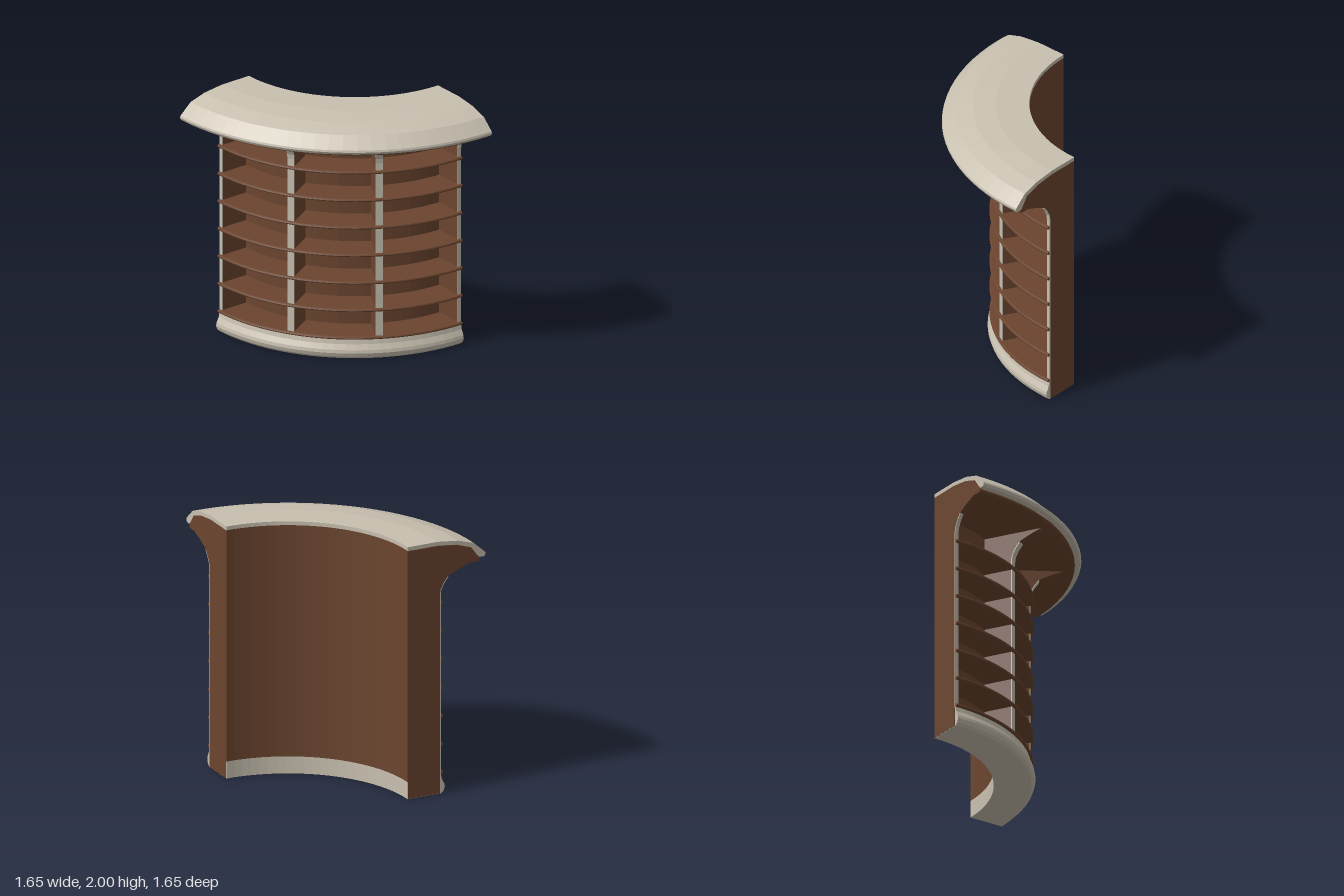
import * as THREE from 'three';
import { mergeGeometries } from 'three/addons/utils/BufferGeometryUtils.js';

const CENTRE = -0.825; // axis of the quarter ring in x and z
const SEGMENTS = 24;
const WIDTH = 0.055; // divider thickness

const vectors = (points) => points.map(([r, y]) => new THREE.Vector2(r, y));

// Places a geometry drawn in (radius, height) at an angle measured from +z
const atAngle = (geometry, angle) => geometry.rotateY(angle - Math.PI / 2);

// Solid quarter ring from a closed anticlockwise (radius, height) profile
function quarterRing(points) {
  const outline = vectors(points);
  const skin = new THREE.LatheGeometry([...outline, outline[0]], SEGMENTS, 0, Math.PI / 2);
  const startCap = atAngle(new THREE.ShapeGeometry(new THREE.Shape(outline)), 0);
  const endCap = new THREE.ShapeGeometry(new THREE.Shape(outline));
  const index = endCap.index.array;
  for (let i = 0; i < index.length; i += 3) {
    [index[i], index[i + 1]] = [index[i + 1], index[i]];
  }
  const geometry = mergeGeometries([skin, startCap, endCap].map((g) => g.toNonIndexed()));
  geometry.computeVertexNormals();
  return geometry;
}

// Flat radial plate extruded from z0 to z1 across its thickness
function radialPlate(points, angle, z0, z1) {
  const geometry = new THREE.ExtrudeGeometry(new THREE.Shape(vectors(points)), {
    depth: z1 - z0, bevelEnabled: false,
  });
  return atAngle(geometry.translate(0, 0, z0), angle);
}

// Board with a rounded front edge
function board(inner, outer, y, thickness) {
  const h = thickness / 2;
  return [
    [inner, y - h], [outer - h, y - h], [outer - h * 0.3, y - h * 0.7], [outer, y],
    [outer - h * 0.3, y + h * 0.7], [outer - h, y + h], [inner, y + h],
  ];
}

export function createModel() {
  const stone = new THREE.MeshStandardMaterial({ color: 0xc8c0b0 });
  stone.name = 'warm grey';
  const wood = new THREE.MeshStandardMaterial({ color: 0x6b452f });
  wood.name = 'brown wood';

  const model = new THREE.Group();
  model.name = 'curvedShelfCounter';
  const add = (name, geometry, material) => {
    const mesh = new THREE.Mesh(geometry, material);
    mesh.name = name;
    mesh.position.set(CENTRE, 0, CENTRE);
    model.add(mesh);
  };

  // Plinth with a bulging front
  add('base', quarterRing([
    [1, 0], [1.28, 0], [1.3, 0.02], [1.31, 0.05], [1.305, 0.075],
    [1.285, 0.115], [1.277, 0.155], [1.05, 0.155], [1.05, 0.135], [1, 0.135],
  ]), stone);

  // Curved back wall
  add('backWall', quarterRing([[1, 0.135], [1.05, 0.135], [1.05, 1.97], [1, 1.97]]), wood);

  // Overhanging counter top, a shell sloping down to a rolled rim
  add('counterTop', quarterRing([
    [1, 1.97], [1.25, 1.97], [1.41, 1.95], [1.53, 1.91], [1.6, 1.82], [1.64, 1.82],
    [1.65, 1.84], [1.645, 1.855], [1.55, 1.94], [1.42, 1.98], [1.25, 2], [1, 2],
  ]), stone);
  add('topMoulding', quarterRing(board(1.01, 1.602, 1.805, 0.03)), wood);

  // Shelves
  for (let i = 0; i < 7; i++) {
    add('shelf', quarterRing(board(1.01, 1.297, 0.165 + i * 0.2242, 0.024)), wood);
  }

  // Radial dividers flaring out under the top, with pale front facings
  const flare = [[1.267, 1.58], [1.274, 1.62], [1.3, 1.67], [1.335, 1.715]];
  const underTop = [[1.42, 1.755], [1.53, 1.795], [1.59, 1.82]];
  const crown = [[1.53, 1.908], [1.41, 1.948], [1.25, 1.968]];
  const facing = [
    [1.267, 0.15], ...flare,
    ...flare.map(([r, y], i) => [r + 0.008 - i * 0.001, y - i * 0.002]).reverse(),
    [1.275, 0.15],
  ];
  for (let i = 0; i < 4; i++) {
    const angle = (i * Math.PI) / 6;
    const end = i === 0 || i === 3;
    const z0 = i === 0 ? -WIDTH / 2 : i === 3 ? -0.002 : -WIDTH / 2;
    const z1 = i === 0 ? 0.002 : WIDTH / 2;
    const foot = end ? 0.002 : 0.15;
    add(end ? 'endPanel' : 'divider', radialPlate([
      [1.003, foot], [1.267, foot], ...flare, ...underTop, ...crown, [1.003, 1.968],
    ], angle, z0, z1), wood);
    add('dividerFacing', radialPlate(facing, angle, z0, z1), stone);
  }
  return model;
}
